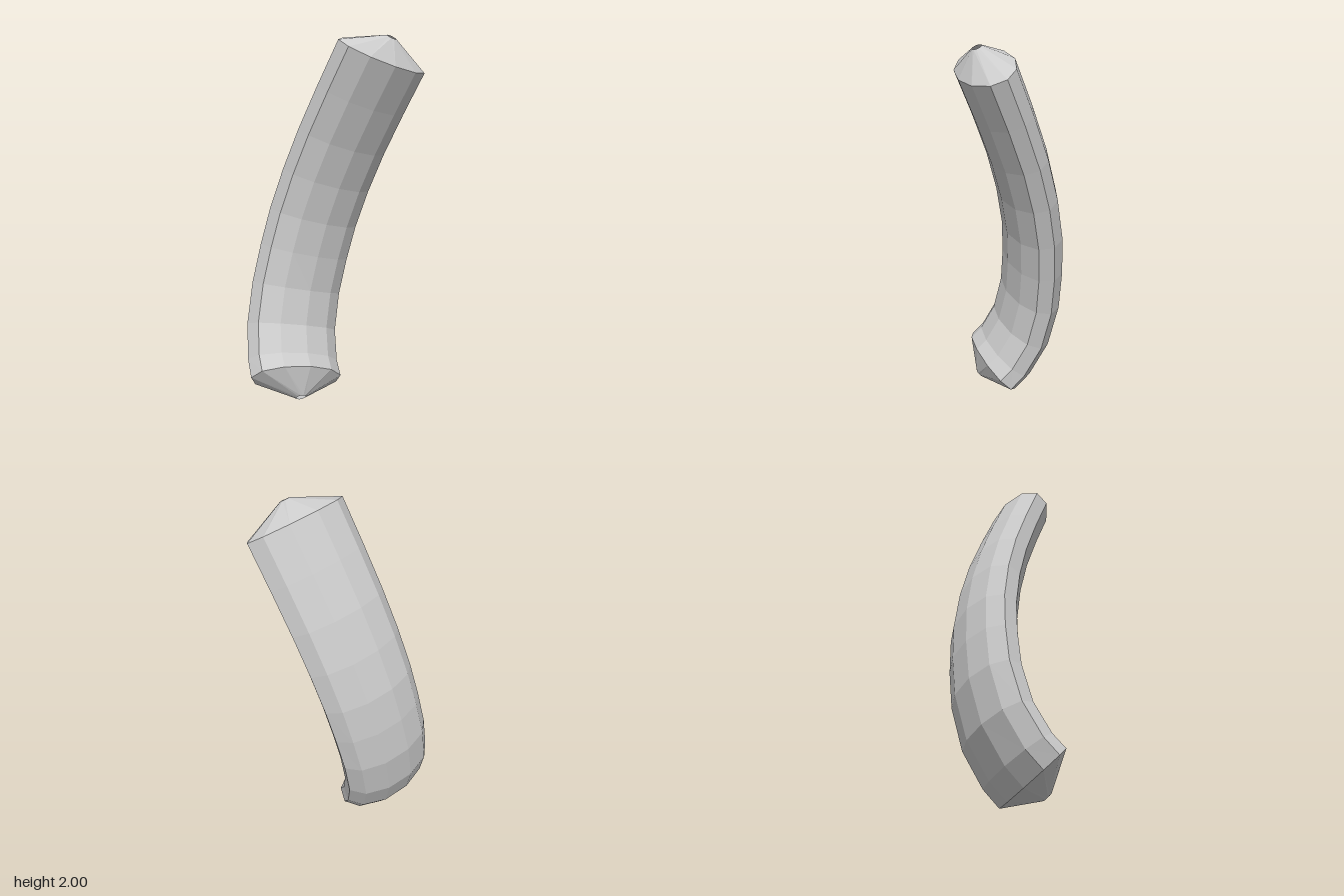
import * as THREE from 'three';

const SIDES = 11;
const material = new THREE.MeshStandardMaterial({ color: 0xcccccc, flatShading: true, side: THREE.DoubleSide });

// The bend lies in one plane; its normal is the wide axis of the oval section.
const wide = new THREE.Vector3(0.952, -0.238, -0.22).normalize();
const onPlane = ([y, z]) => new THREE.Vector3(-0.279 + 0.25 * y + 0.231 * z, y, z);

// Oval ring across the path: half width a, half thickness b
function ring(centre, tangent, a, b) {
  const thick = new THREE.Vector3().crossVectors(wide, tangent).normalize();
  return Array.from({ length: SIDES }, (_, k) => {
    const t = Math.PI / 2 + (k * 2 * Math.PI) / SIDES;
    return centre.clone().addScaledVector(wide, a * Math.cos(t)).addScaledVector(thick, b * Math.sin(t));
  });
}

// Skin a list of rings, ordered from bottom to top
function loft(name, rings) {
  const index = [];
  for (let i = 0; i < rings.length - 1; i++) {
    for (let j = 0; j < SIDES; j++) {
      const k = (j + 1) % SIDES;
      const a = i * SIDES + j, b = a + SIDES, c = (i + 1) * SIDES + k, d = i * SIDES + k;
      index.push(a, b, c, a, c, d);
    }
  }
  const geometry = new THREE.BufferGeometry().setFromPoints(rings.flat());
  geometry.setIndex(index);
  geometry.computeVertexNormals();
  const mesh = new THREE.Mesh(geometry, material);
  mesh.name = name;
  return mesh;
}

export function createModel() {
  const group = new THREE.Group();
  group.name = 'curvedTube';

  // Centre line as (y, z), tightest near the bottom
  const path = new THREE.CatmullRomCurve3([
    [0.122, 0.068], [0.2, -0.007], [0.37, -0.1], [0.59, -0.147], [0.8, -0.152],
    [1.0, -0.14], [1.22, -0.098], [1.44, -0.033], [1.67, 0.057], [1.9, 0.157],
  ].map(onPlane), false, 'catmullrom', 0.5);

  const steps = 9;
  const rings = [];
  for (let i = 0; i <= steps; i++) {
    rings.push(ring(path.getPoint(i / steps), path.getTangent(i / steps), 0.285, 0.15));
  }
  group.add(loft('body', rings));

  // Shallow cones at both ends, each with a small round opening
  const mouth = (t, offset) => {
    const tangent = path.getTangent(t);
    return ring(path.getPoint(t).addScaledVector(tangent, offset), tangent, 0.027, 0.027);
  };
  group.add(loft('bottomCone', [mouth(0, -0.115), rings[0]]));
  group.add(loft('topCone', [rings[steps], mouth(1, 0.11)]));
  return group;
}
